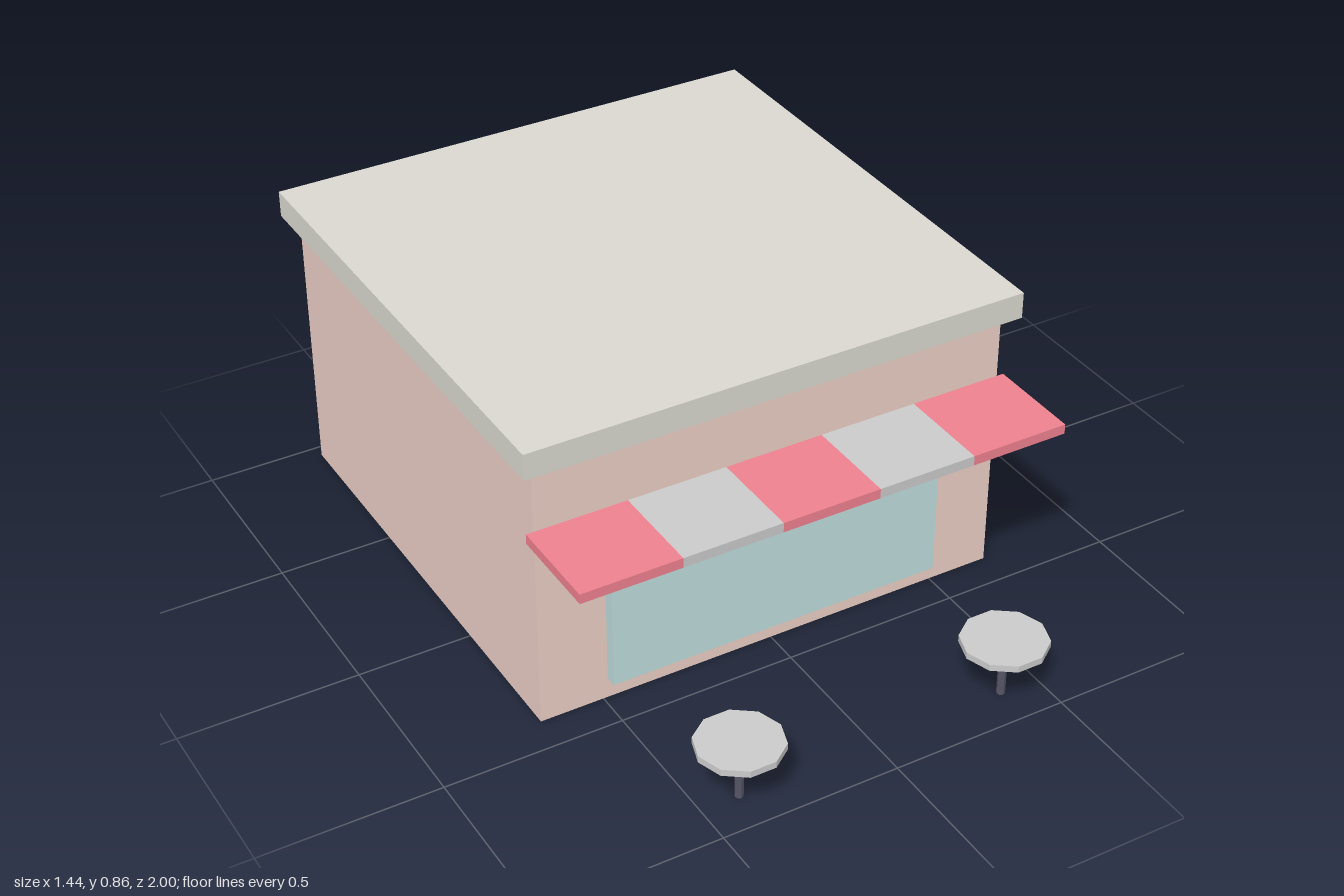
import * as THREE from 'three';

const material = (color) => new THREE.MeshStandardMaterial({ color, flatShading: true });

// Box given by its lower and upper limits on each axis
function box(name, [x0, x1], [y0, y1], [z0, z1], mat) {
  const mesh = new THREE.Mesh(new THREE.BoxGeometry(x1 - x0, y1 - y0, z1 - z0), mat);
  mesh.name = name;
  mesh.position.set((x0 + x1) / 2, (y0 + y1) / 2, (z0 + z1) / 2);
  return mesh;
}

// Upright cylinder between two heights
function post(name, radius, y0, y1, sides, mat) {
  const mesh = new THREE.Mesh(new THREE.CylinderGeometry(radius, radius, y1 - y0, sides), mat);
  mesh.name = name;
  mesh.position.y = (y0 + y1) / 2;
  return mesh;
}

export function createModel() {
  const model = new THREE.Group();
  model.name = 'cafe';
  const wall = material(0xecd0c6);
  const roof = material(0xdbd9d1);
  const glass = material(0xc2dede);
  const red = material(0xf08290);
  const grey = material(0xcccccc);
  const dark = material(0x555566);

  // Building
  model.add(
    box('walls', [-0.68, 0.68], [0, 0.782], [-0.96, 0.4], wall),
    box('roof', [-0.718, 0.718], [0.782, 0.857], [-1, 0.438], roof),
    box('window', [-0.487, 0.487], [0.062, 0.528], [0.39, 0.433], glass)
  );

  // Striped awning
  const awning = new THREE.Group();
  awning.name = 'awning';
  for (let i = 0; i < 5; i++) {
    const x = -0.7 + i * 0.28;
    awning.add(box('awningStripe', [x, x + 0.28], [0.567, 0.595], [0.4, 0.672], i % 2 ? grey : red));
  }
  model.add(awning);

  // Two ten-sided tables in front
  for (const side of [-1, 1]) {
    const table = new THREE.Group();
    table.name = side < 0 ? 'rightTable' : 'leftTable';
    const top = post('tableTop', 0.1165, 0.158, 0.177, 10, grey);
    top.rotation.y = Math.PI / 2;
    table.add(top, post('tableLeg', 0.0117, 0, 0.158, 8, dark));
    table.position.set(side * 0.39, 0, 0.889);
    model.add(table);
  }
  return model;
}
